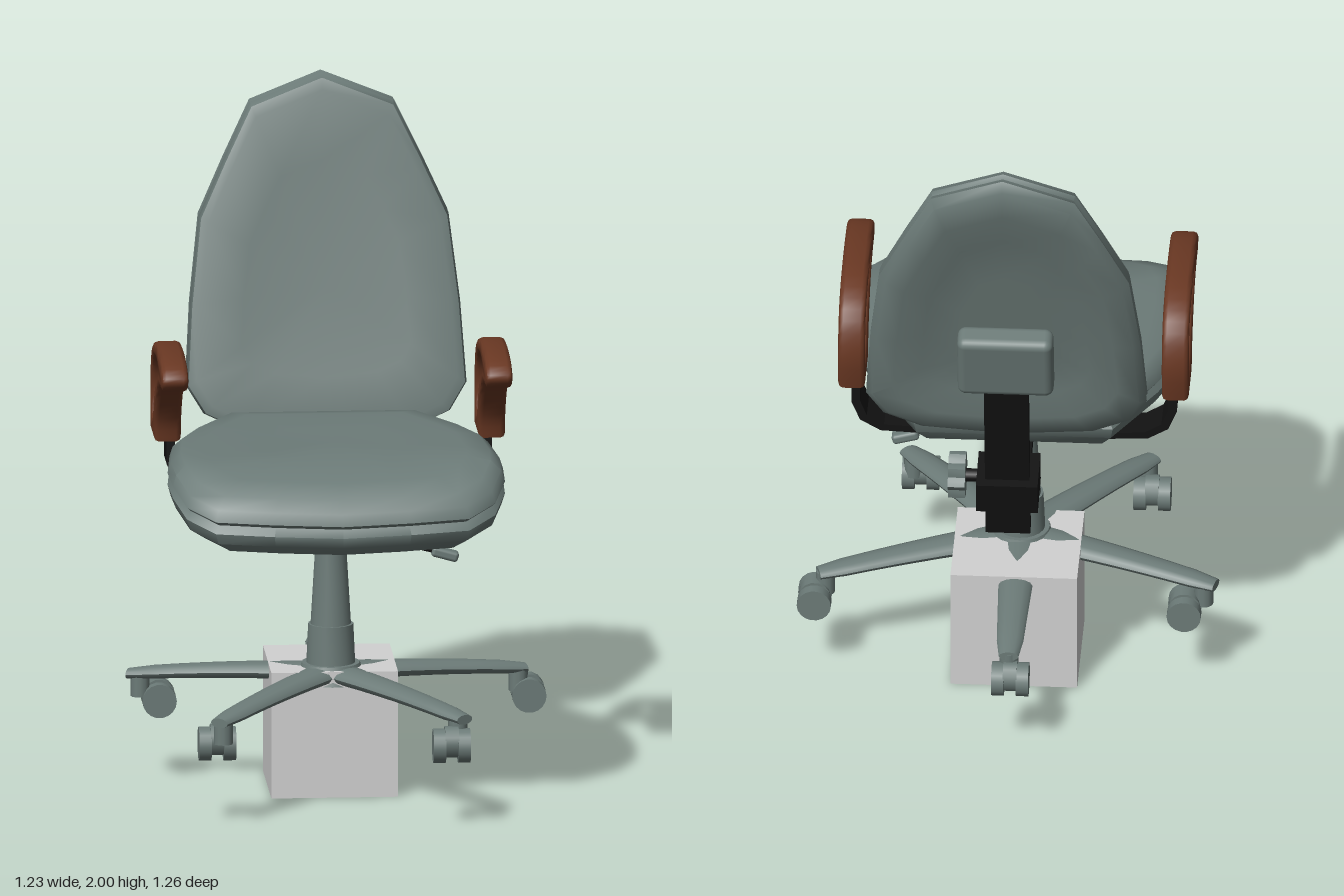
import * as THREE from 'three';
import { toCreasedNormals } from 'three/addons/utils/BufferGeometryUtils.js';
import { RoundedBoxGeometry } from 'three/addons/geometries/RoundedBoxGeometry.js';

const material = (name, color) => new THREE.MeshStandardMaterial({ name, color });

// Closed cushion: a mirrored half outline [w, v] repeated over layers [scale, height].
function cushion(half, layers, vCentre, place) {
  const ring = [...half, ...half.slice(1, -1).reverse().map(([w, v]) => [-w, v])];
  const n = ring.length, pos = [], idx = [];
  for (const [s, h] of layers)
    for (const [w, v] of ring) pos.push(...place(w * s, vCentre + (v - vCentre) * s, h));
  const first = layers[0], last = layers[layers.length - 1];
  pos.push(...place(0, vCentre, first[1]), ...place(0, vCentre, last[1]));
  const bottom = n * layers.length, top = bottom + 1, lastRow = n * (layers.length - 1);
  for (let i = 0; i < n; i++) {
    const k = (i + 1) % n;
    for (let j = 0; j < layers.length - 1; j++) {
      const a = j * n + i, b = j * n + k;
      idx.push(a, b, b + n, a, b + n, a + n);
    }
    idx.push(bottom, k, i, top, lastRow + i, lastRow + k);
  }
  const g = new THREE.BufferGeometry();
  g.setAttribute('position', new THREE.Float32BufferAttribute(pos, 3));
  g.setIndex(idx);
  return toCreasedNormals(g, 0.75);
}

export function createModel() {
  const root = new THREE.Group();
  root.name = 'officeChair';
  const grey = material('greyFabric', 0x6c7b78);
  const brown = material('brownArm', 0x6a3823);
  const black = material('blackMetal', 0x121212);
  const pale = material('paleBlock', 0xd2d2d2);
  const add = (name, geo, mat, x = 0, y = 0, z = 0, parent = root) => {
    const m = new THREE.Mesh(geo, mat);
    m.name = name;
    m.position.set(x, y, z);
    parent.add(m);
    return m;
  };
  const cyl = (rTop, rBottom, h, sides = 20) => new THREE.CylinderGeometry(rTop, rBottom, h, sides);
  const cx = -0.04, cz = 0.07;

  // Block under the base
  add('supportBlock', new THREE.BoxGeometry(0.37, 0.375, 0.37), pale, -0.035, 0.1875, -0.015);

  // Seat with drooping front edge
  const seatHalf = [[0, 0.63], [0.2, 0.617], [0.37, 0.6], [0.45, 0.53], [0.485, 0.43], [0.49, 0.27],
    [0.47, 0.05], [0.41, -0.1], [0.29, -0.31], [0, -0.31]];
  const seatLayers = [[0.5, 0.88], [0.88, 0.88], [0.98, 0.93], [1, 0.965], [0.975, 0.985], [1, 1.0],
    [0.98, 1.03], [0.92, 1.055], [0.78, 1.063], [0.4, 1.058]];
  add('seat', cushion(seatHalf, seatLayers, 0.15, (x, z, y) =>
    [cx + x, y - Math.max(0, z - 0.42) * 0.42, z]), grey);

  // Reclined backrest with hollow rear panel
  const backHalf = [[0, 0.97], [0.25, 0.99], [0.36, 1.04], [0.41, 1.12], [0.395, 1.35], [0.365, 1.6],
    [0.29, 1.76], [0.21, 1.92], [0, 2]];
  const backLayers = [[0.35, -0.085], [0.6, -0.085], [0.8, -0.112], [0.95, -0.1], [1, -0.075],
    [0.985, -0.05], [1, -0.035], [0.985, -0.008], [0.93, 0], [0.6, -0.01]];
  add('backrest', cushion(backHalf, backLayers, 1.4, (x, y, h) =>
    [-0.025 + x, y, -0.325 - 0.247 * (y - 1.15) + h]), grey);

  // Rear housing and upright bar
  const housing = add('rearHousing', new RoundedBoxGeometry(0.28, 0.22, 0.085, 3, 0.025), grey, -0.03, 1.32, -0.515);
  housing.rotation.x = -0.24;
  const upright = add('uprightBar', new THREE.BoxGeometry(0.13, 0.58, 0.035), black, -0.03, 0.945, -0.435);
  upright.rotation.x = -0.17;
  add('uprightClamp', new THREE.BoxGeometry(0.18, 0.1, 0.15), black, -0.03, 0.82, -0.385).rotation.x = -0.17;
  add('backLink', new THREE.BoxGeometry(0.12, 0.035, 0.4), black, -0.03, 0.835, -0.2).rotation.x = -0.12;

  // Lobed adjusting knob
  const knob = cyl(0.07, 0.07, 0.05, 32);
  const kp = knob.attributes.position;
  for (let i = 0; i < kp.count; i++) {
    const f = 1 + 0.1 * (Math.cos(8 * Math.atan2(kp.getZ(i), kp.getX(i))) - 1);
    kp.setXYZ(i, kp.getX(i) * f, kp.getY(i), kp.getZ(i) * f);
  }
  add('adjustingKnob', toCreasedNormals(knob, 0.6), grey, 0.12, 0.825, -0.36).rotation.z = Math.PI / 2;
  add('knobShaft', cyl(0.02, 0.02, 0.09, 10), black, 0.07, 0.825, -0.36).rotation.z = Math.PI / 2;

  // Tapered tray beneath the seat
  const tray = new THREE.CylinderGeometry(0.36, 0.23, 0.065, 4, 1).rotateY(Math.PI / 4).toNonIndexed();
  tray.scale(0.8, 1, 1.1).computeVertexNormals();
  add('seatTray', tray, grey, cx, 0.855, 0.1);

  // Gas column
  const column = [[0.072, 0.37], [0.066, 0.5], [0.059, 0.5], [0.046, 0.72], [0.038, 0.72], [0.038, 0.87]];
  add('column', toCreasedNormals(new THREE.LatheGeometry(column.map(p => new THREE.Vector2(...p)), 20), 0.6),
    grey, cx, 0, cz);

  // Height lever with paddle
  const from = new THREE.Vector3(-0.02, 0.785, 0.07), to = new THREE.Vector3(0.29, 0.7, 0.048);
  add('heightLever', new THREE.TubeGeometry(new THREE.LineCurve3(from, to), 1, 0.008, 8), black);
  add('leverPaddle', new RoundedBoxGeometry(0.08, 0.03, 0.045, 2, 0.01), grey, 0.295, 0.697, 0.047).rotation.z = -0.27;

  // Five tapered, arched legs
  add('baseHub', cyl(0.085, 0.105, 0.055), grey, cx, 0.357, cz);
  const leg = new THREE.CylinderGeometry(1, 1, 1, 12, 8).rotateZ(-Math.PI / 2);
  const lp = leg.attributes.position;
  for (let i = 0; i < lp.count; i++) {
    const t = lp.getX(i) + 0.5;
    const end = t > 0.99 ? 0.8 : 1;
    lp.setXYZ(i, 0.02 + 0.59 * t,
      0.356 - 0.012 * t - 0.028 * t * t + lp.getY(i) * (0.027 - 0.009 * t) * end,
      lp.getZ(i) * (0.06 - 0.024 * t) * end);
  }
  leg.computeVertexNormals();
  const legGeo = toCreasedNormals(leg, 0.9);
  for (let i = 0; i < 5; i++)
    add('baseLeg', legGeo, grey, cx, 0, cz).rotation.y = Math.PI / 2 + i * Math.PI * 0.4;

  // Twin-wheel casters: [x, z, swivel, pivot x, pivot z]
  const swivel = Math.PI / 2;
  const casters = [[0.55, -0.125, swivel, 0.52, -0.11], [-0.53, -0.125, swivel, -0.585, -0.11],
    [0.28, 0.565, 0, 0.3, 0.54], [-0.4, 0.49, 0, -0.385, 0.54], [-0.045, -0.54, 0, -0.04, -0.515]];
  const wheel = cyl(0.05, 0.05, 0.036, 18).rotateZ(Math.PI / 2);
  const hood = new THREE.CylinderGeometry(0.046, 0.046, 0.04, 14).rotateZ(Math.PI / 2);
  for (const [x, z, turn, px, pz] of casters) {
    const c = new THREE.Group();
    c.name = 'caster';
    c.position.set(x, 0.24, z);
    c.rotation.y = turn;
    for (const s of [-1, 1]) add('casterWheel', wheel, grey, s * 0.036, 0, 0, c);
    add('casterHood', hood, grey, 0, 0.012, 0, c);
    root.add(c);
    add('casterStem', cyl(0.028, 0.028, 0.07, 12), grey, px, 0.285, pz);
  }

  // Looped armrests, outline in (-z, y)
  const points = list => list.map(p => new THREE.Vector2(...p));
  const loop = new THREE.Shape();
  loop.moveTo(0.045, 1.02);
  loop.lineTo(0.215, 1.02);
  loop.splineThru(points([[0.23, 1.14], [0.19, 1.255], [0.08, 1.313], [-0.1, 1.325], [-0.24, 1.31],
    [-0.29, 1.275], [-0.26, 1.238], [-0.19, 1.235], [-0.1, 1.21], [-0.02, 1.15], [0.03, 1.08], [0.045, 1.02]]));
  const hole = new THREE.Path();
  hole.moveTo(-0.12, 1.262);
  hole.splineThru(points([[-0.02, 1.222], [0.06, 1.16], [0.125, 1.078], [0.175, 1.085], [0.187, 1.16],
    [0.145, 1.24], [0.03, 1.277], [-0.08, 1.28], [-0.12, 1.262]]));
  loop.holes.push(hole);
  const arm = toCreasedNormals(new THREE.ExtrudeGeometry(loop, { depth: 0.05, curveSegments: 3,
    bevelThickness: 0.014, bevelSize: 0.012, bevelOffset: -0.012, bevelSegments: 2 })
    .translate(0, 0, -0.025).rotateY(Math.PI / 2), 0.8);

  // Bent strap holding each armrest
  const strap = [[0.475, 1.03], [0.475, 0.95], [0.45, 0.89], [0.39, 0.855], [0.05, 0.84],
    [0.05, 0.86], [0.38, 0.875], [0.43, 0.905], [0.45, 0.955], [0.45, 1.03]];
  for (const s of [-1, 1]) {
    add(s > 0 ? 'leftArmrest' : 'rightArmrest', arm, brown, -0.035 + s * 0.473, 0, s > 0 ? 0 : -0.013);
    const shape = new THREE.Shape(points(strap.map(([x, y]) => [x * s, y])));
    add('armStrap', new THREE.ExtrudeGeometry(shape, { depth: 0.11, bevelEnabled: false }), black,
      -0.035, 0, -0.18);
  }
  return root;
}
